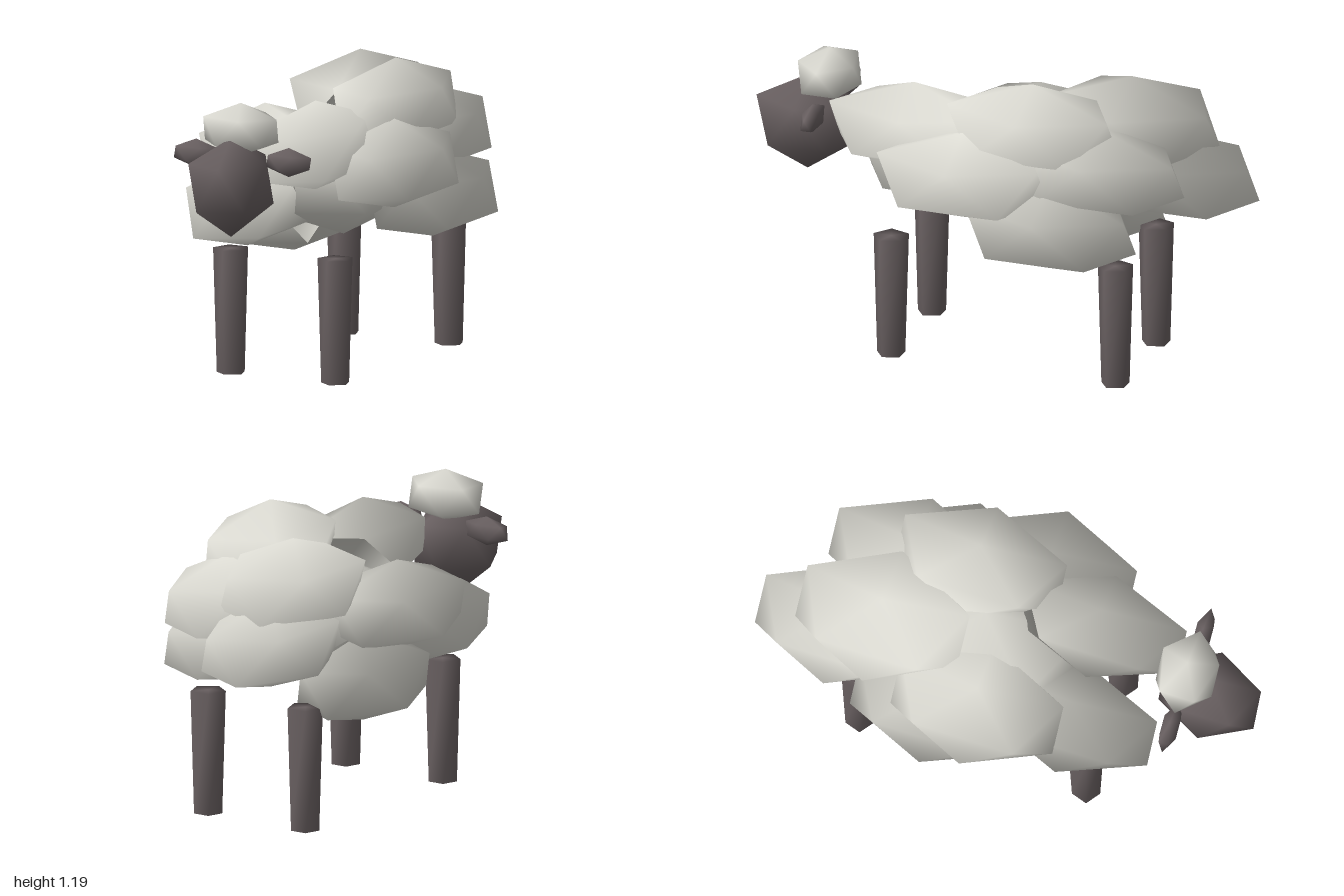
import * as THREE from 'three';
import { mergeVertices } from 'three/addons/utils/BufferGeometryUtils.js';

// Smooth twelve-corner ball: two staggered rings of five, a top point and a bottom point.
// top and bottom stretch the two points; size holds the three radii.
function ballGeometry(size, top = 1, bottom = 1) {
  const pos = [0, top, 0], index = [];
  const h = 1 / Math.sqrt(5), r = 2 * h;
  for (const [y, shift] of [[h, 0], [-h, 0.5]]) {
    for (let i = 0; i < 5; i++) {
      const a = (i + shift) * Math.PI * 0.4;
      pos.push(r * Math.cos(a), y, -r * Math.sin(a));
    }
  }
  pos.push(0, -bottom, 0);
  for (let i = 0; i < 5; i++) {
    const u = 1 + i, v = 1 + (i + 1) % 5, l = 6 + i, m = 6 + (i + 1) % 5;
    index.push(0, u, v, u, l, v, l, m, v, 11, m, l);
  }
  const g = new THREE.BufferGeometry();
  g.setAttribute('position', new THREE.Float32BufferAttribute(pos, 3));
  g.setAttribute('normal', new THREE.Float32BufferAttribute(pos, 3));
  g.setIndex(index);
  return g.scale(...size);
}

// Lean a tuft's normals away from the body centre so the fleece shades as one mass
function blendNormals(g, offset) {
  const p = new THREE.Vector3(), n = new THREE.Vector3();
  const { position, normal } = g.attributes;
  for (let i = 0; i < position.count; i++) {
    p.fromBufferAttribute(position, i).add(offset).normalize();
    n.fromBufferAttribute(normal, i).addScaledVector(p, 2.5).normalize();
    normal.setXYZ(i, n.x, n.y, n.z);
  }
  return g;
}

// Tapered five-sided post with normals shared across its edges
function legGeometry() {
  const g = new THREE.CylinderGeometry(0.0725, 0.058, 0.495, 5);
  g.deleteAttribute('normal');
  g.deleteAttribute('uv');
  const merged = mergeVertices(g);
  merged.computeVertexNormals();
  return merged;
}

export function createModel() {
  const model = new THREE.Group();
  model.name = 'sheep';
  const wool = new THREE.MeshStandardMaterial({ color: 0xdbdad2 });
  wool.name = 'wool';
  const skin = new THREE.MeshStandardMaterial({ color: 0x6a6162 });
  skin.name = 'darkSkin';

  const add = (parent, name, geometry, material, position) => {
    const mesh = new THREE.Mesh(geometry, material);
    mesh.name = name;
    mesh.position.set(...position);
    parent.add(mesh);
  };

  // Fleece: a core with overlapping tufts around it
  const fleece = new THREE.Group();
  fleece.name = 'fleece';
  model.add(fleece);
  const core = [0, 0.74, -0.12];
  add(fleece, 'core', ballGeometry([0.32, 0.25, 0.46]), wool, core);
  const tufts = [ // x, y, z, half width
    [0.188, 1.005, -0.2, 0.23],    // top
    [0.314, 0.815, 0.045, 0.243],  // left side
    [0.294, 0.64, -0.31, 0.247],   // lower left
    [0.18, 0.857, -0.47, 0.245],   // rear left
    [0.113, 0.915, 0.32, 0.21],    // chest, upper
    [-0.198, 0.66, 0.3, 0.226],    // chest, lower
    [-0.312, 0.805, -0.05, 0.25],  // right side
    [-0.278, 0.545, -0.23, 0.236], // lower right
    [-0.131, 0.96, -0.5, 0.28],    // rear top
    [-0.14, 0.75, -0.665, 0.255],  // rump
  ];
  tufts.forEach(([x, y, z, width], i) => {
    const offset = new THREE.Vector3(x, y, z).sub(new THREE.Vector3(...core));
    const g = blendNormals(ballGeometry([width, 0.193, 0.392], 0.98, 0.85), offset);
    add(fleece, `tuft${i + 1}`, g, wool, [x, y, z]);
  });

  // Head, forelock and ears
  const head = new THREE.Group();
  head.name = 'head';
  model.add(head);
  add(head, 'face', ballGeometry([0.172, 0.196, 0.23], 0.93, 1.08), skin, [0, 0.845, 0.805]);
  add(head, 'forelock', ballGeometry([0.178, 0.118, 0.135], 0.9, 0.85), wool, [-0.005, 1.045, 0.715]);
  const ear = ballGeometry([0.112, 0.058, 0.039]);
  for (const s of [1, -1]) {
    add(head, s > 0 ? 'leftEar' : 'rightEar', ear, skin, [s * 0.205, 0.932, 0.71]);
  }

  // Legs
  const leg = legGeometry();
  for (const s of [1, -1]) {
    const side = s > 0 ? 'Left' : 'Right';
    add(model, `front${side}Leg`, leg, skin, [s * 0.232, 0.2475, 0.373]);
    add(model, `back${side}Leg`, leg, skin, [s * 0.232, 0.2475, -0.56]);
  }
  return model;
}
